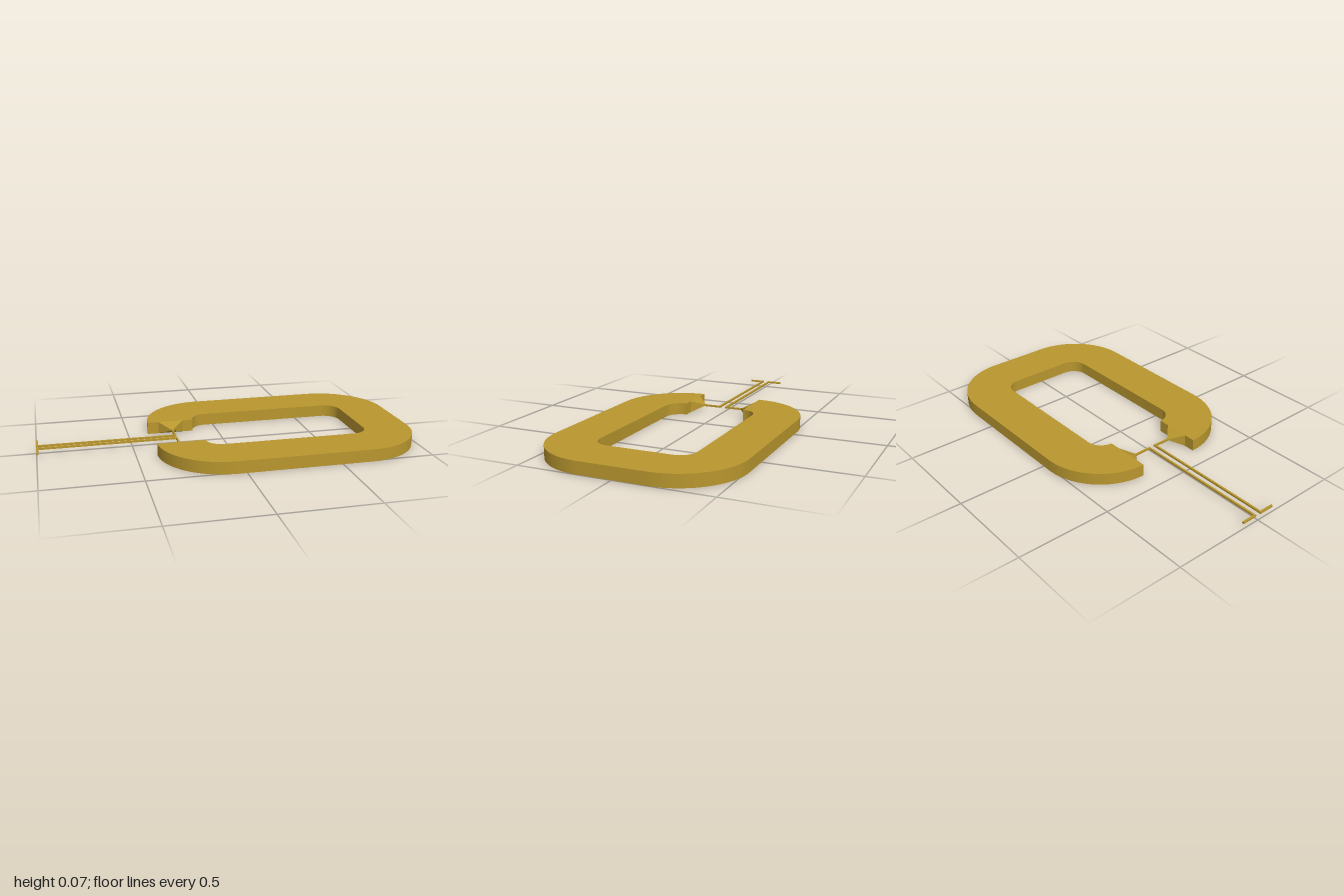
import * as THREE from 'three';
import { toCreasedNormals } from 'three/addons/utils/BufferGeometryUtils.js';

const HEIGHT = 0.065, MID = HEIGHT / 2, WIRE = 0.01;
const LEFT = -0.05, RIGHT = 0.66, ARC_Z = 0.174; // shared corner centres
const OUTER = 0.34, INNER = 0.086;
const GAP_X = -0.262; // centre line of the pole tips

export function createModel() {
  const group = new THREE.Group();
  group.name = 'splitRing';
  const material = new THREE.MeshStandardMaterial({ color: 0xb8962e });

  const add = (name, geometry, x = 0, y = 0, z = 0) => {
    const mesh = new THREE.Mesh(geometry, material);
    mesh.name = name;
    mesh.position.set(x, y, z);
    group.add(mesh);
    return mesh;
  };

  // C-shaped rounded plate: around the outside, then back along the inside
  const H = Math.PI / 2;
  const plate = new THREE.Shape();
  plate.moveTo(LEFT - OUTER, -ARC_Z);
  plate.absarc(LEFT, -ARC_Z, OUTER, 2 * H, 3 * H, false);
  plate.absarc(RIGHT, -ARC_Z, OUTER, 3 * H, 4 * H, false);
  plate.absarc(RIGHT, ARC_Z, OUTER, 0, H, false);
  plate.absarc(LEFT, ARC_Z, OUTER, H, 2 * H, false);
  plate.absarc(LEFT, ARC_Z, INNER, 2 * H, H, true);
  plate.absarc(RIGHT, ARC_Z, INNER, H, 0, true);
  plate.absarc(RIGHT, -ARC_Z, INNER, 4 * H, 3 * H, true);
  plate.absarc(LEFT, -ARC_Z, INNER, 3 * H, 2 * H, true);
  const ring = new THREE.ExtrudeGeometry(plate, { depth: HEIGHT, bevelEnabled: false, curveSegments: 24 });
  ring.rotateX(-H);
  add('ringPlate', toCreasedNormals(ring, 0.5));

  // Pyramid pole tip and thin feed line on each side of the gap
  for (const side of [-1, 1]) {
    const label = side > 0 ? 'front' : 'back';

    // Four-sided taper, widest on the plate, pointing at the gap
    const taper = new THREE.CylinderGeometry(WIRE / Math.SQRT2, 0.135 / Math.SQRT2, 0.062, 4, 1).toNonIndexed();
    taper.rotateY(Math.PI / 4);
    taper.rotateX(-side * H);
    taper.scale(1, HEIGHT / 0.135, 1);
    taper.computeVertexNormals();
    add(label + 'Taper', taper, GAP_X, MID, side * (ARC_Z - 0.031));

    // Stem, long line and end tab
    const rod = (name, x0, x1, z0, z1) => add(label + name,
      new THREE.BoxGeometry(x1 - x0, WIRE, z1 - z0),
      (x0 + x1) / 2, MID, side * (z0 + z1) / 2);
    const h = WIRE / 2;
    rod('Stem', GAP_X - h, GAP_X + h, 0.015, 0.115);
    rod('Line', -1, GAP_X + h, 0.015, 0.025);
    rod('EndTab', -1, -1 + WIRE, 0.015, 0.1);
  }
  return group;
}
